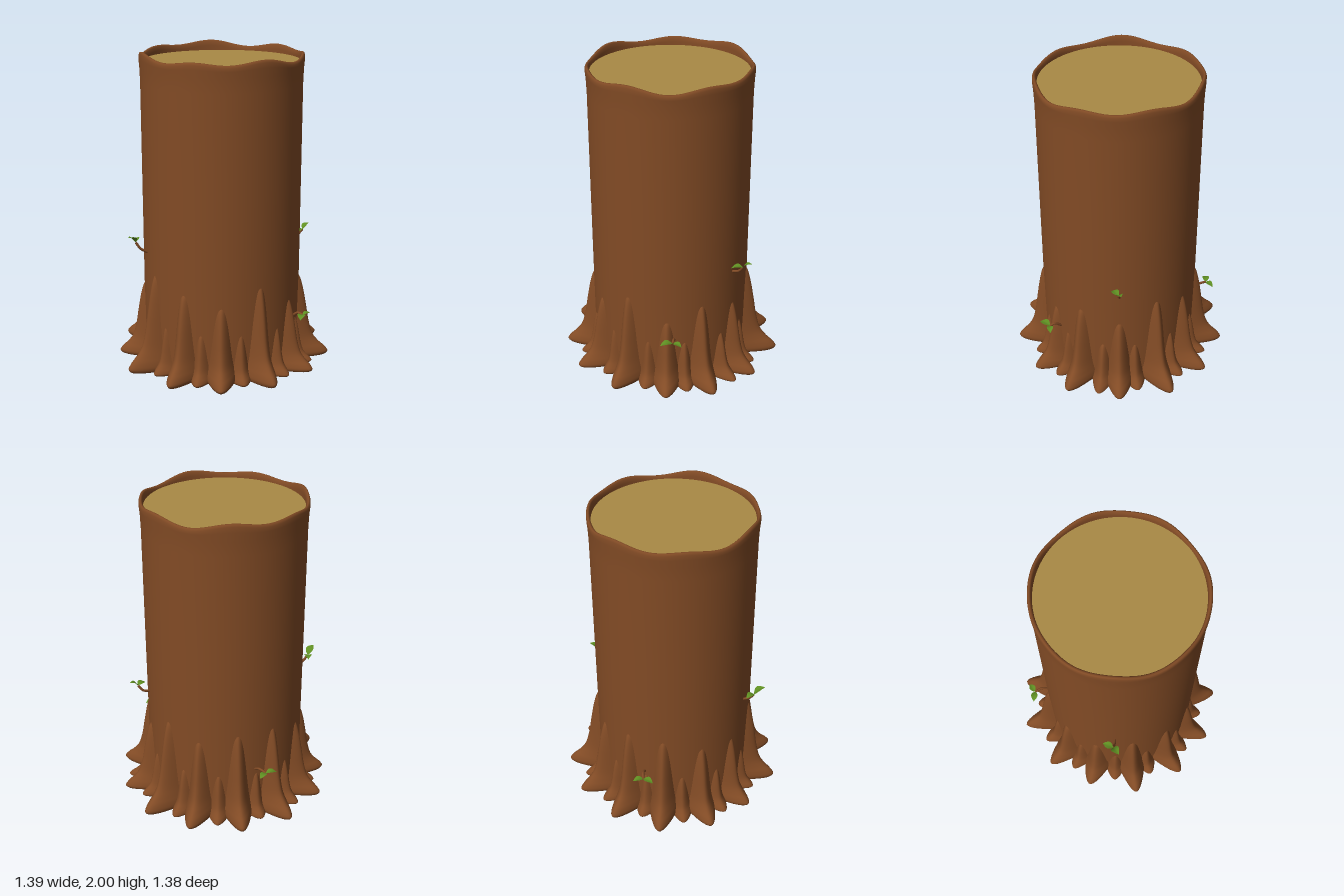
import * as THREE from 'three';

const bark = new THREE.MeshStandardMaterial({ name: 'bark', color: 0x824b25 });
const wood = new THREE.MeshStandardMaterial({ name: 'cutWood', color: 0xa98a45 });
const leafGreen = new THREE.MeshStandardMaterial({ name: 'leafGreen', color: 0x5f8f22, side: THREE.DoubleSide });

function addMesh(parent, name, geometry, material) {
  const mesh = new THREE.Mesh(geometry, material);
  mesh.name = name;
  parent.add(mesh);
  return mesh;
}

// Hollow-topped trunk wall whose rim rises and falls around the circle
function trunkGeometry() {
  const profile = [
    [0.503, 0.005], [0.503, 0.6], [0.503, 1.2], [0.503, 1.8], [0.506, 1.89], [0.51, 1.935],
    [0.51, 1.96], [0.505, 1.974], [0.497, 1.976], [0.488, 1.968], [0.485, 1.945], [0.484, 1.9],
  ].map(([r, y]) => new THREE.Vector2(r, y));
  const geometry = new THREE.LatheGeometry(profile, 96);
  const p = geometry.attributes.position;
  for (let i = 0; i < p.count; i++) {
    const a = Math.atan2(p.getX(i), p.getZ(i));
    const lift = THREE.MathUtils.smoothstep(p.getY(i), 1.9, 1.965);
    const wave = 0.012 * Math.sin(7 * a + 1) + 0.008 * Math.sin(4 * a + 2) - 0.006 * Math.cos(a);
    p.setY(i, p.getY(i) + wave * lift);
  }
  const seamNormals = geometry.attributes.normal.clone();
  geometry.computeVertexNormals();
  // Keep the seam smooth by restoring the lathe normals there
  const rows = profile.length;
  for (const start of [0, p.count - rows]) {
    for (let k = start; k < start + rows; k++) {
      geometry.attributes.normal.setXYZ(k, seamNormals.getX(k), seamNormals.getY(k), seamNormals.getZ(k));
    }
  }
  return geometry;
}

// Height fraction, outward reach fraction, width fraction of a root
const rootProfile = new THREE.CatmullRomCurve3([
  [0, 0.8, 0.84], [0.02, 0.95, 0.96], [0.05, 1, 1], [0.1, 0.9, 0.97], [0.16, 0.7, 0.91],
  [0.25, 0.5, 0.84], [0.4, 0.37, 0.76], [0.6, 0.27, 0.66], [0.8, 0.16, 0.54],
  [0.93, 0.05, 0.43], [1, -0.1, 0.3],
].map((v) => new THREE.Vector3(...v)));

// Root flaring from the trunk toward +z, lofted from pointed half sections
function rootGeometry(height, reach, halfWidth) {
  const inner = 0.46, cols = 20, n = cols + 1;
  const rows = rootProfile.getPoints(36);
  const positions = [], index = [];
  rows.forEach((row, i) => {
    const depth = 0.5 + reach * row.y - inner;
    for (let j = 0; j <= cols; j++) {
      const s = (j / cols) * 2 - 1;
      positions.push(halfWidth * row.z * s, Math.max(0, height * row.x),
        inner + depth * (1 - Math.abs(s) ** 1.8));
      if (i < rows.length - 1 && j < cols) {
        const a = i * n + j;
        index.push(a, a + 1, a + n + 1, a, a + n + 1, a + n);
      }
    }
  });
  // Underside
  const centre = positions.length / 3;
  positions.push(0, 0, inner);
  for (let j = 0; j < cols; j++) index.push(centre, j + 1, j);
  const geometry = new THREE.BufferGeometry();
  geometry.setAttribute('position', new THREE.Float32BufferAttribute(positions, 3));
  geometry.setIndex(index);
  geometry.computeVertexNormals();
  return geometry;
}

// Pointed, slightly folded and arched leaf along +z with unit length
function leafGeometry() {
  const geometry = new THREE.PlaneGeometry(2, 1, 6, 12);
  geometry.rotateX(Math.PI / 2);
  const p = geometry.attributes.position;
  for (let i = 0; i < p.count; i++) {
    const s = p.getX(i), t = p.getZ(i) + 0.5;
    const w = 0.32 * Math.sin(Math.PI * t ** 0.85);
    p.setXYZ(i, s * w, 0.16 * Math.sin(Math.PI * t) + 0.25 * w * Math.abs(s), t);
  }
  geometry.computeVertexNormals();
  return geometry;
}

// Tip x, tip z, height
const largeRoots = [
  [0.01, 0.69, 0.63], [0.34, 0.59, 0.48], [0.58, 0.4, 0.58], [0.69, 0.07, 0.51], [0.67, -0.27, 0.65],
  [0.47, -0.52, 0.57], [0.17, -0.68, 0.63], [-0.16, -0.69, 0.63], [-0.46, -0.52, 0.55],
  [-0.625, -0.25, 0.52], [-0.7, 0.08, 0.65], [-0.57, 0.4, 0.58], [-0.32, 0.61, 0.51],
];
const smallRoots = [
  [0.17, 0.58], [0.42, 0.455], [0.62, 0.2], [0.615, -0.06], [0.51, -0.36], [0.29, -0.55], [0, -0.6],
  [-0.28, -0.55], [-0.5, -0.36], [-0.6, -0.07], [-0.57, 0.19], [-0.41, 0.455], [-0.14, 0.58],
];

// Stem points, then the tip of each leaf
const sprouts = [
  { stem: [[0.29, 0.33, 0.41], [0.31, 0.365, 0.45], [0.325, 0.36, 0.485]],
    tips: [[0.27, 0.355, 0.545], [0.39, 0.355, 0.485]] },
  { stem: [[0.49, 0.72, 0.06], [0.54, 0.735, 0.055], [0.575, 0.775, 0.065]],
    tips: [[0.51, 0.765, 0.1], [0.63, 0.81, 0.055]] },
  { stem: [[-0.49, 0.74, -0.06], [-0.54, 0.77, -0.065], [-0.57, 0.815, -0.075]],
    tips: [[-0.54, 0.82, -0.14], [-0.63, 0.86, -0.04]] },
  { stem: [[0.01, 0.33, -0.49], [0, 0.365, -0.55], [-0.02, 0.36, -0.597]],
    tips: [[-0.09, 0.355, -0.61], [0.035, 0.355, -0.635]] },
];

export function createModel() {
  const model = new THREE.Group();
  model.name = 'treeStump';

  addMesh(model, 'trunk', trunkGeometry(), bark);
  const top = addMesh(model, 'cutTop', new THREE.CircleGeometry(0.486, 96), wood);
  top.rotation.x = -Math.PI / 2;
  top.position.y = 1.932;
  const base = addMesh(model, 'trunkBase', new THREE.CircleGeometry(0.503, 96), bark);
  base.rotation.x = Math.PI / 2;
  base.position.y = 0.005;

  const roots = new THREE.Group();
  roots.name = 'roots';
  model.add(roots);
  for (const [x, z, h] of largeRoots) {
    const geometry = rootGeometry(h, Math.hypot(x, z) - 0.5, 0.105);
    addMesh(roots, 'largeRoot', geometry, bark).rotation.y = Math.atan2(x, z);
  }
  for (const [x, z] of smallRoots) {
    const geometry = rootGeometry(0.32, Math.hypot(x, z) - 0.5, 0.085);
    addMesh(roots, 'smallRoot', geometry, bark).rotation.y = Math.atan2(x, z);
  }

  // Leafy sprouts
  const leaf = leafGeometry();
  for (const { stem, tips } of sprouts) {
    const sprout = new THREE.Group();
    sprout.name = 'sprout';
    model.add(sprout);
    const points = stem.map((v) => new THREE.Vector3(...v));
    addMesh(sprout, 'stem', new THREE.TubeGeometry(new THREE.CatmullRomCurve3(points), 12, 0.008, 8), bark);
    for (const tip of tips) {
      const target = new THREE.Vector3(...tip);
      const blade = addMesh(sprout, 'leaf', leaf, leafGreen);
      blade.position.copy(points[2]);
      blade.lookAt(target);
      blade.scale.setScalar(points[2].distanceTo(target));
    }
  }
  return model;
}
